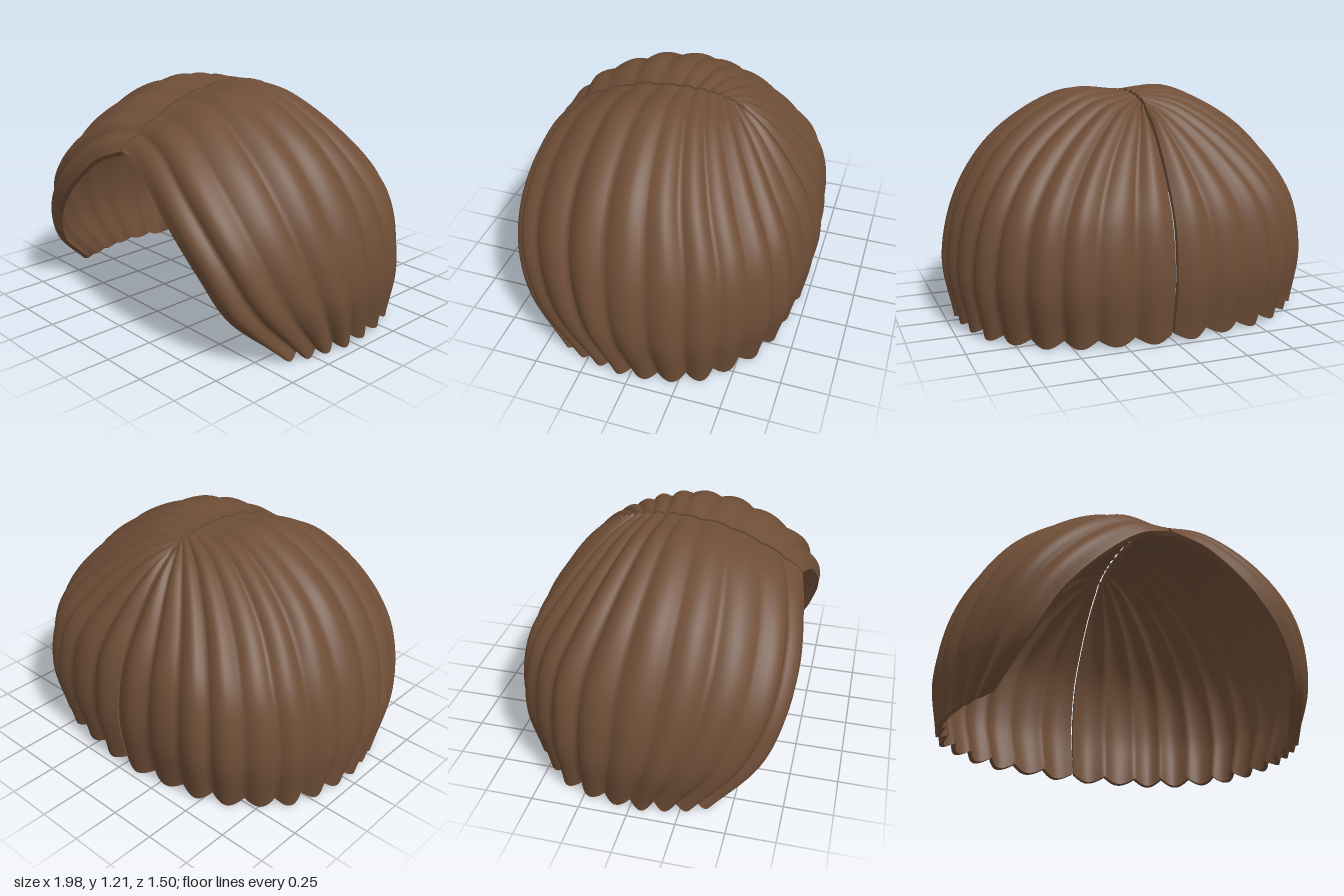
import * as THREE from 'three';

const brown = new THREE.MeshStandardMaterial({ color: 0x6f4e37 });
brown.name = 'brown hair';

// Guide strands of the left half, from the front edge to the back seam.
// Each runs from the parting down to the hem (x, y, z triples).
const GUIDES = [
  [0.01, 0.95, 0.69, 0.2, 0.87, 0.73, 0.42, 0.68, 0.76, 0.6, 0.47, 0.73, 0.72, 0.25, 0.64, 0.83, 0.04, 0.42],
  [0.01, 1.06, 0.53, 0.25, 1.03, 0.59, 0.52, 0.85, 0.64, 0.74, 0.6, 0.62, 0.86, 0.3, 0.5, 0.89, 0.03, 0.28],
  [0.01, 1.16, 0.3, 0.3, 1.15, 0.34, 0.62, 0.95, 0.37, 0.84, 0.67, 0.35, 0.95, 0.33, 0.26, 0.925, 0.03, 0.12],
  [0.01, 1.2, 0.08, 0.3, 1.2, 0.08, 0.66, 1.0, 0.06, 0.89, 0.68, 0.02, 0.975, 0.33, -0.02, 0.93, 0.03, -0.08],
  [0.01, 1.2, -0.1, 0.28, 1.16, -0.16, 0.59, 0.95, -0.27, 0.8, 0.66, -0.38, 0.87, 0.33, -0.4, 0.83, 0.03, -0.38],
  [0.01, 1.18, -0.22, 0.17, 1.1, -0.34, 0.36, 0.9, -0.5, 0.5, 0.65, -0.64, 0.54, 0.33, -0.68, 0.51, 0.03, -0.62],
  [0.01, 1.15, -0.3, 0.01, 1.03, -0.45, 0.01, 0.85, -0.59, 0.01, 0.62, -0.71, 0.01, 0.33, -0.75, 0.01, 0.03, -0.71],
];
// Number of ridges counted from the front at each guide strand
const RIDGES = [0, 1.5, 3, 4.5, 6.7, 9.2, 12];
const NU = 120, NV = 40, THICKNESS = 0.025;

const spline = (points) => new THREE.CatmullRomCurve3(points, false, 'catmullrom', 0.5);

// Position along the guides (0..1) for a given ridge count
function guideAt(ridge) {
  let i = 0;
  while (i < RIDGES.length - 2 && ridge > RIDGES[i + 1]) i++;
  return (i + (ridge - RIDGES[i]) / (RIDGES[i + 1] - RIDGES[i])) / (RIDGES.length - 1);
}

// Outer and inner point grids of one half, indexed [u][v]
function makeGrids() {
  const strands = GUIDES.map((g) => {
    const pts = [];
    for (let i = 0; i < g.length; i += 3) pts.push(new THREE.Vector3(g[i], g[i + 1], g[i + 2]));
    return spline(pts);
  });
  const base = Array.from({ length: NU + 1 }, () => []);
  for (let j = 0; j <= NV; j++) {
    const row = spline(strands.map((s) => s.getPoint(j / NV)));
    for (let i = 0; i <= NU; i++) base[i][j] = row.getPoint(guideAt((12 * i) / NU));
  }
  const clampToSeam = (p) => {
    p.x = Math.max(p.x, p.y > 0.25 ? 0.006 : 0.0005);
    return p;
  };
  const outer = [], inner = [];
  for (let i = 0; i <= NU; i++) {
    outer.push([]);
    inner.push([]);
    for (let j = 0; j <= NV; j++) {
      const v = j / NV, ridge = (12 * i) / NU;
      const du = base[Math.min(i + 1, NU)][j].clone().sub(base[Math.max(i - 1, 0)][j]);
      const dv = base[i][Math.min(j + 1, NV)].clone().sub(base[i][Math.max(j - 1, 0)]);
      const n = dv.cross(du).normalize();
      // rounded ridges with tight valleys, softer near the parting
      const wave = 1.8 * Math.abs(Math.sin(Math.PI * ridge)) - 1;
      const amp = 0.021 * (0.85 + 0.2 * Math.sin(ridge * 2.3)) * (0.3 + 0.7 * Math.min(1, v * 2.2));
      const p = base[i][j].clone().addScaledVector(n, amp * wave);
      p.y -= 0.015 * wave * v ** 12; // scalloped hem
      outer[i].push(clampToSeam(p.clone()));
      inner[i].push(clampToSeam(p.addScaledVector(n, -THICKNESS)));
    }
  }
  return { outer, inner };
}

// Smooth sheet through a point grid; flip reverses its facing side
function sheet(grid, side, flip) {
  const pos = [], idx = [], cols = grid[0].length;
  grid.forEach((line) => line.forEach((p) => pos.push(p.x * side, p.y, p.z)));
  for (let i = 0; i < grid.length - 1; i++) {
    for (let j = 0; j < cols - 1; j++) {
      const a = i * cols + j, b = a + 1, c = a + cols, d = c + 1;
      if (flip !== side < 0) idx.push(a, c, b, b, c, d);
      else idx.push(a, b, c, b, d, c);
    }
  }
  const geo = new THREE.BufferGeometry();
  geo.setAttribute('position', new THREE.Float32BufferAttribute(pos, 3));
  geo.setIndex(idx);
  geo.computeVertexNormals();
  return geo;
}

export function createModel() {
  const model = new THREE.Group();
  model.name = 'partedHair';
  const { outer, inner } = makeGrids();
  const column = (grid, j) => grid.map((line) => line[j]);

  for (const side of [1, -1]) {
    const half = new THREE.Group();
    half.name = side > 0 ? 'leftHalf' : 'rightHalf';
    const add = (name, grid, flip) => {
      const mesh = new THREE.Mesh(sheet(grid, side, flip), brown);
      mesh.name = name;
      half.add(mesh);
    };
    add('outerHair', outer, false);
    add('innerHair', inner, true);
    // narrow walls closing the four borders
    add('frontEdge', [inner[0], outer[0]], false);
    add('backSeam', [outer[NU], inner[NU]], false);
    add('partingEdge', [column(outer, 0), column(inner, 0)], false);
    add('hemEdge', [column(inner, NV), column(outer, NV)], false);
    model.add(half);
  }
  return model;
}
